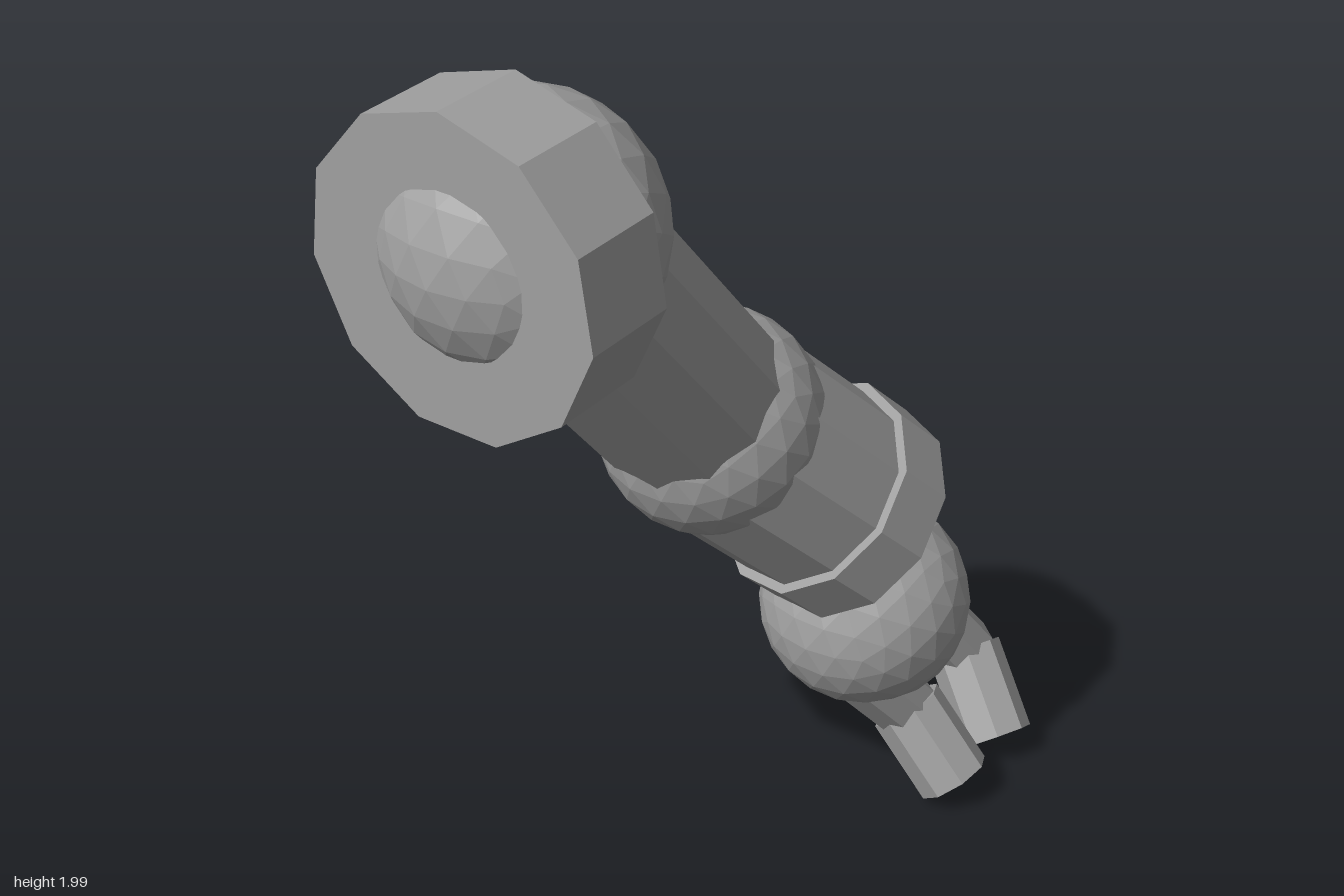
import * as THREE from 'three';

export function createModel() {
  const group = new THREE.Group();
  group.name = 'mechanicalArm';
  const grey = new THREE.MeshStandardMaterial({ color: 0xa0a0a0 });
  grey.name = 'grey';
  grey.flatShading = true;
  const V = (x, y, z) => new THREE.Vector3(x, y, z);

  const add = (name, geometry, parent = group) => {
    const mesh = new THREE.Mesh(geometry, grey);
    mesh.name = name;
    parent.add(mesh);
    return mesh;
  };

  // Faceted ball joint
  const ball = (name, centre, radius) =>
    add(name, new THREE.IcosahedronGeometry(radius, 3)).position.copy(centre);

  // Faceted rod running between two points
  const rod = (name, a, b, radius, sides, parent = group) => {
    const along = b.clone().sub(a);
    const mesh = add(name, new THREE.CylinderGeometry(radius, radius, along.length(), sides), parent);
    mesh.position.copy(a).add(b).multiplyScalar(0.5);
    mesh.quaternion.setFromUnitVectors(V(0, 1, 0), along.normalize());
  };

  const shoulder = V(-0.46, 1.685, -0.11);
  const elbow = V(0.03, 1.06, -0.048);
  const cuffEnd = V(0.34, 0.725, 0.105);
  const hand = V(0.368, 0.485, 0.126);

  // Shoulder collar, with one corner pointing straight up
  const collar = new THREE.CylinderGeometry(0.324, 0.324, 0.21, 11);
  collar.rotateZ(Math.PI / 2).rotateX(-Math.PI / 2);
  add('shoulderCollar', collar).position.set(-0.565, 1.676, -0.113);

  // Ball joints
  ball('shoulderJoint', shoulder, 0.27);
  ball('elbowJoint', elbow, 0.24);
  ball('hand', hand, 0.235);

  // Arm segments and the cuff at the wrist
  const cuffStart = cuffEnd.clone().sub(elbow).setLength(0.14).negate().add(cuffEnd);
  rod('upperArm', shoulder, elbow, 0.207, 11);
  rod('forearm', elbow, cuffStart, 0.228, 11);
  rod('wristCuff', cuffStart, cuffEnd, 0.249, 11);

  // Two fingers, each with two segments: base, knuckle, tip
  const fingers = [
    ['innerFinger', V(0.235, 0.42, 0.155), V(0.387, 0.22, 0.235), V(0.395, 0.066, 0.365)],
    ['outerFinger', V(0.52, 0.41, 0.162), V(0.642, 0.222, 0.235), V(0.58, 0.064, 0.366)],
  ];
  for (const [name, base, knuckle, tip] of fingers) {
    const finger = new THREE.Group();
    finger.name = name;
    group.add(finger);
    rod('fingerBase', base, knuckle, 0.076, 8, finger);
    rod('fingerTip', knuckle, tip, 0.085, 8, finger);
  }
  return group;
}
